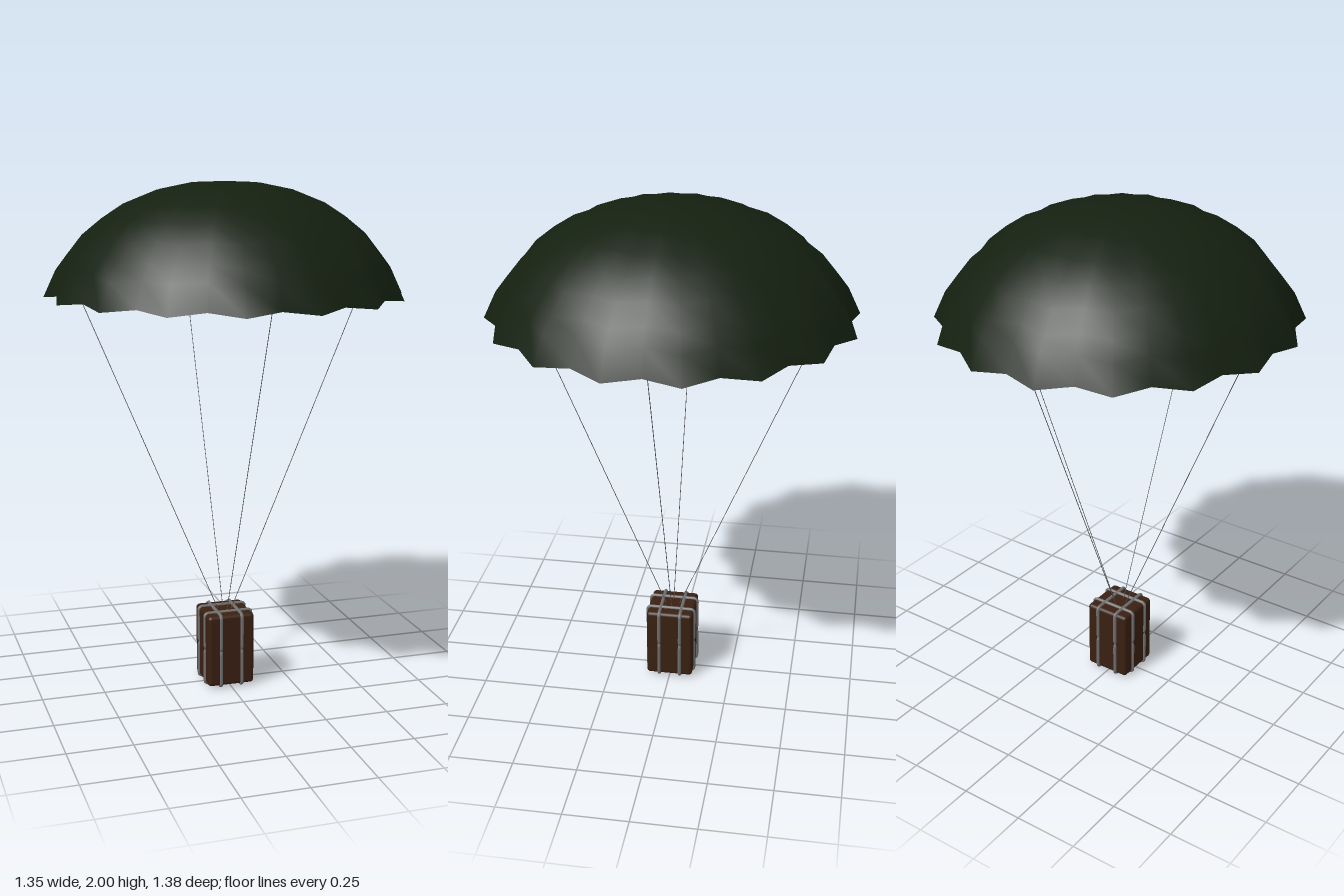
import * as THREE from 'three';
import { mergeVertices } from 'three/addons/utils/BufferGeometryUtils.js';
import { RoundedBoxGeometry } from 'three/addons/geometries/RoundedBoxGeometry.js';

const GORES = 16;

const material = (color, extra = {}) => new THREE.MeshStandardMaterial({ color, ...extra });

function addMesh(parent, name, geometry, mat) {
  const mesh = new THREE.Mesh(geometry, mat);
  mesh.name = name;
  parent.add(mesh);
  return mesh;
}

// Dome turned from a ridge profile, with every second meridian drawn in as a seam
function canopyGeometry() {
  const profile = [
    [0.706, 1.57], [0.657, 1.672], [0.612, 1.73], [0.553, 1.803], [0.475, 1.865],
    [0.392, 1.918], [0.265, 1.968], [0.136, 1.994], [0, 2],
  ].map(([r, y]) => new THREE.Vector2(r, y));
  const lathe = new THREE.LatheGeometry(profile, GORES * 2);
  const pos = lathe.attributes.position;
  for (let i = 0; i < pos.count; i++) {
    const seam = Math.floor(i / profile.length) % 2 === 0;
    const pull = seam ? 0.944 : 1;
    const r = Math.hypot(pos.getX(i), pos.getZ(i));
    const lift = seam ? 0.015 * (r / 0.706) ** 4 : 0;
    pos.setXYZ(i, pos.getX(i) * pull * 0.978, pos.getY(i) + lift, pos.getZ(i) * pull);
  }
  lathe.deleteAttribute('normal');
  lathe.deleteAttribute('uv');
  const geometry = mergeVertices(lathe, 1e-4);
  geometry.computeVertexNormals();
  return geometry;
}

// Closed strap around the crate, nipped in a little at half height
function strapGeometry(offset) {
  const w = 0.096, low = 0.007, high = 0.303, c = 0.01, mid = 0.155, nip = 0.006;
  const half = [
    [w - c, low], [w, low + c], [w, mid - 0.015], [w - nip, mid],
    [w, mid + 0.015], [w, high - c], [w - c, high],
  ];
  const outline = [...half, ...half.map(([x, y]) => [-x, y]).reverse()];
  const points = outline.map(([x, y]) => new THREE.Vector3(x, y, offset));
  const loop = new THREE.CatmullRomCurve3(points, true, 'catmullrom', 0.05);
  return new THREE.TubeGeometry(loop, 140, 0.007, 8, true);
}

export function createModel() {
  const model = new THREE.Group();
  model.name = 'parachuteCrate';

  const cloth = material(0x142010, { side: THREE.DoubleSide, roughness: 0.9 });
  const wood = material(0x3a2012);
  const strapGrey = material(0x707070);
  const cordGrey = material(0x555555);

  addMesh(model, 'canopy', canopyGeometry(), cloth);

  // Crate
  const crate = new THREE.Group();
  crate.name = 'crate';
  model.add(crate);
  addMesh(crate, 'crateBody', new RoundedBoxGeometry(0.19, 0.294, 0.19, 3, 0.014), wood)
    .position.y = 0.155;

  // Two straps in each direction
  for (const turn of [0, Math.PI / 2]) {
    for (const offset of [-0.043, 0.043]) {
      addMesh(crate, 'strap', strapGeometry(offset), strapGrey).rotation.y = turn;
    }
  }

  // Four cords from the crate top up to the inside of the canopy
  const cords = new THREE.Group();
  cords.name = 'cords';
  model.add(cords);
  for (let i = 0; i < 4; i++) {
    const path = new THREE.LineCurve3(
      new THREE.Vector3(0.028, 0.3, 0),
      new THREE.Vector3(0.6, 1.665, 0),
    );
    addMesh(cords, 'cord', new THREE.TubeGeometry(path, 1, 0.0014, 6), cordGrey)
      .rotation.y = i * Math.PI / 2;
  }

  return model;
}
